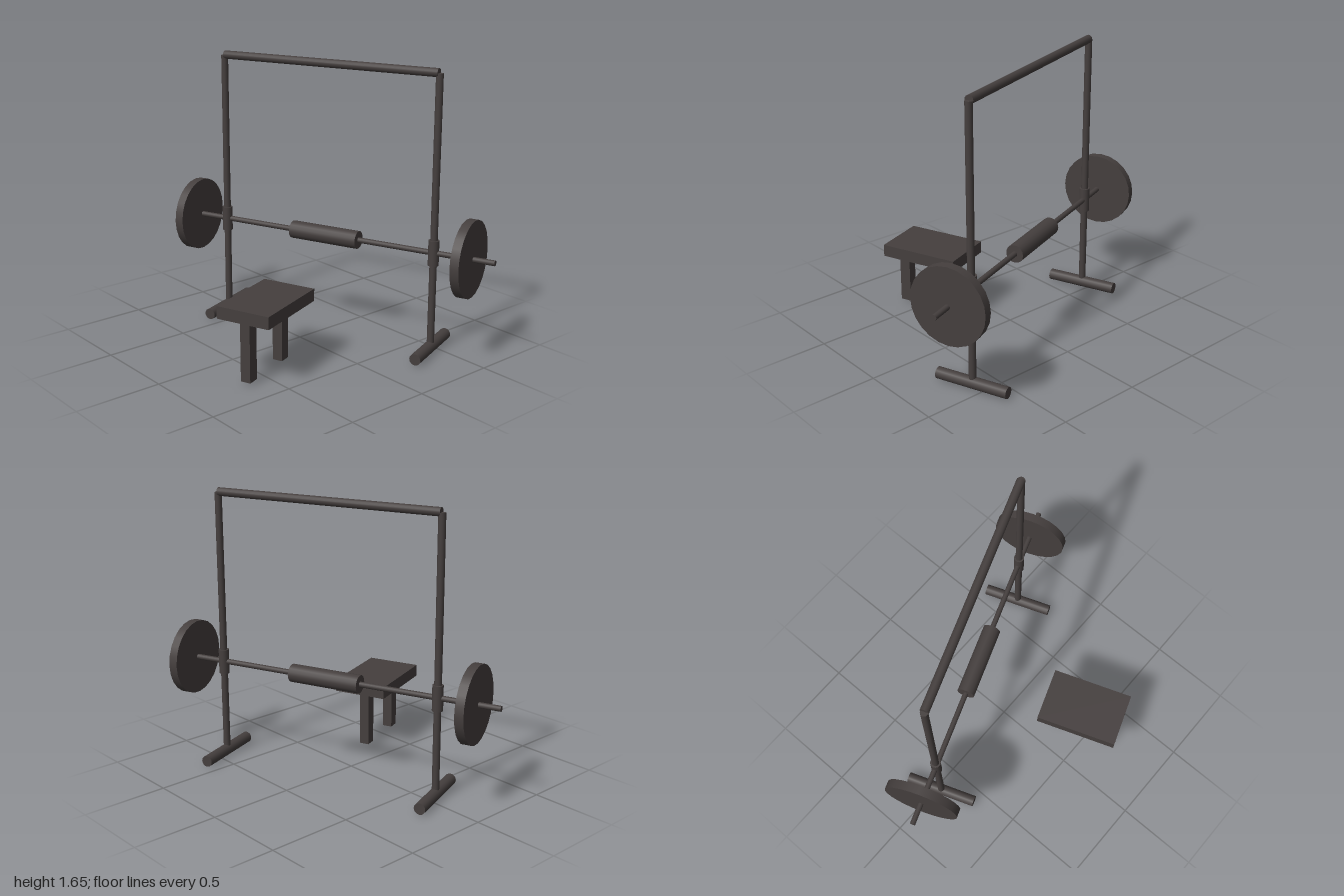
import * as THREE from 'three';

const TURN = THREE.MathUtils.degToRad(20);

export function createModel() {
  const model = new THREE.Group();
  model.name = 'barbellRackAndBench';
  const iron = new THREE.MeshStandardMaterial({ color: 0x453f3e });
  iron.name = 'dark iron';

  const add = (parent, name, geometry, x, y, z) => {
    const mesh = new THREE.Mesh(geometry, iron);
    mesh.name = name;
    mesh.position.set(x, y, z);
    parent.add(mesh);
    return mesh;
  };
  // Cylinder along a chosen axis
  const rod = (parent, name, axis, r, length, x, y, z, sides = 16) => {
    const g = new THREE.CylinderGeometry(r, r, length, sides);
    if (axis === 'x') g.rotateZ(Math.PI / 2);
    if (axis === 'z') g.rotateX(Math.PI / 2);
    return add(parent, name, g, x, y, z);
  };

  // Rack: its long axis runs along local z
  const rack = new THREE.Group();
  rack.name = 'rack';
  rack.position.x = 0.198;
  rack.rotation.y = TURN;
  model.add(rack);
  const barY = 0.603;
  rod(rack, 'topBar', 'z', 0.025, 1.378, 0, 1.623, 0);
  rod(rack, 'barbell', 'z', 0.016, 2.116, 0, barY, 0);
  rod(rack, 'barPad', 'z', 0.053, 0.44, 0, barY, 0);
  for (const s of [1, -1]) {
    const side = s > 0 ? 'front' : 'back';
    const z = s * 0.693;
    rod(rack, side + 'Post', 'y', 0.021, 1.585, 0, 0.8275, z);
    rod(rack, side + 'Foot', 'x', 0.034, 0.438, 0, 0.034, z);
    rod(rack, side + 'Collar', 'y', 0.031, 0.148, 0, barY, z);
    rod(rack, side + 'Plate', 'z', 0.223, 0.052, 0, barY, s * 0.905, 24);
  }

  // Bench with two square legs
  const bench = new THREE.Group();
  bench.name = 'bench';
  bench.position.set(-0.44, 0, 0.237);
  bench.rotation.y = TURN;
  model.add(bench);
  add(bench, 'benchSeat', new THREE.BoxGeometry(0.49, 0.072, 0.325), 0, 0.396, 0);
  for (const s of [1, -1]) {
    add(bench, s > 0 ? 'leftBenchLeg' : 'rightBenchLeg',
      new THREE.BoxGeometry(0.068, 0.345, 0.06), -0.021 + s * 0.167, 0.1875, 0);
  }
  return model;
}
